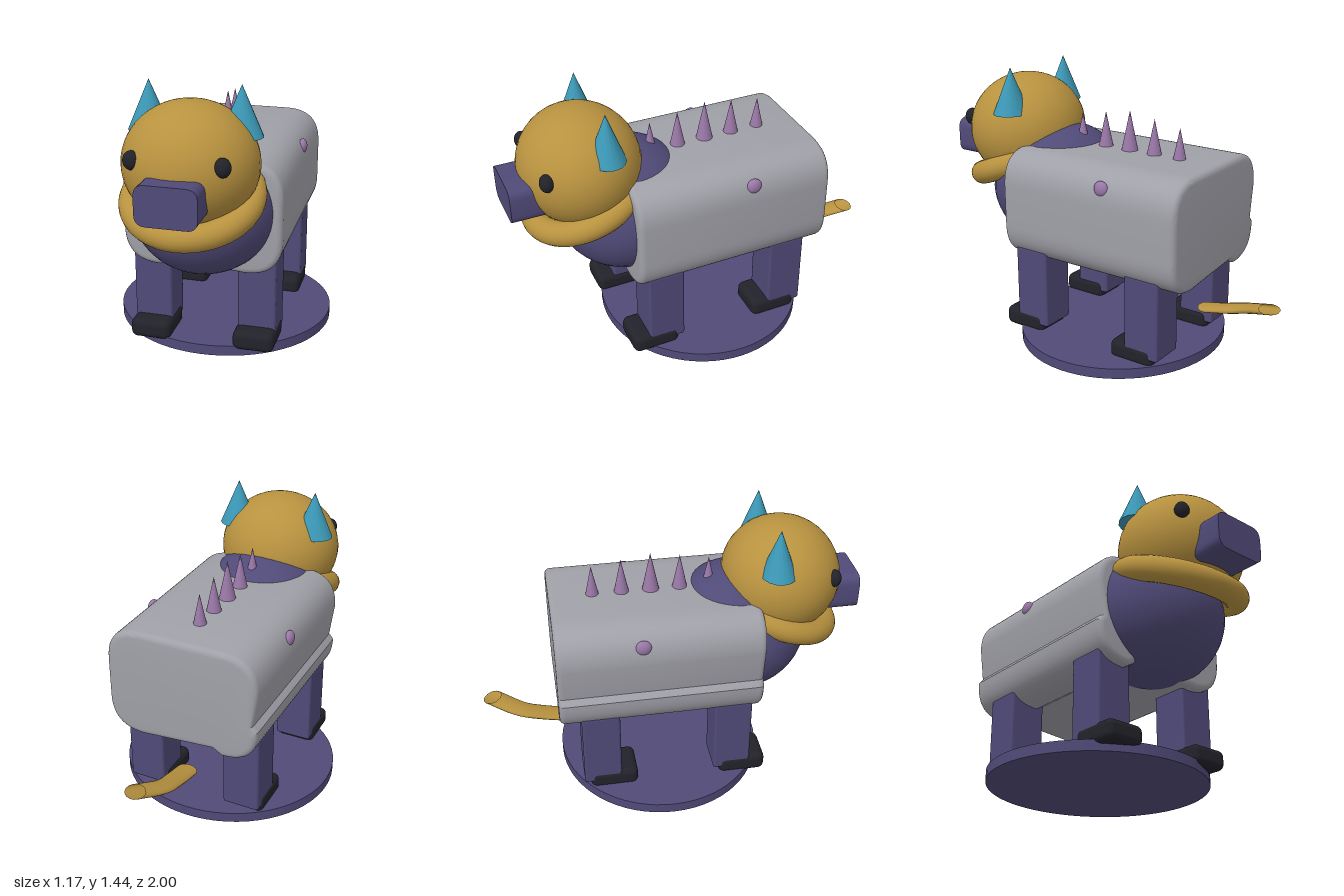
import * as THREE from 'three';
import { toCreasedNormals } from 'three/addons/utils/BufferGeometryUtils.js';
import { RoundedBoxGeometry } from 'three/addons/geometries/RoundedBoxGeometry.js';

const material = (name, color, side = THREE.FrontSide) => {
  const m = new THREE.MeshStandardMaterial({ color, side });
  m.name = name;
  return m;
};

export function createModel() {
  const model = new THREE.Group();
  const gold = material('gold', 0xb8923f, THREE.DoubleSide);
  const indigo = material('indigo', 0x504a78);
  const grey = material('grey', 0xa0a0a8);
  const mauve = material('mauve', 0x9a78a8);
  const teal = material('teal', 0x3c9ab8);
  const black = material('black', 0x22222a);

  const add = (name, geometry, mat, x = 0, y = 0, z = 0) => {
    const mesh = new THREE.Mesh(geometry, mat);
    mesh.name = name;
    mesh.position.set(x, y, z);
    model.add(mesh);
    return mesh;
  };
  const ellipsoid = (name, mat, rx, ry, rz, x, y, z) =>
    add(name, new THREE.SphereGeometry(1, 40, 28), mat, x, y, z).scale.set(rx, ry, rz);

  // Oval base plate
  add('base', new THREE.CylinderGeometry(1, 1, 0.055, 64), indigo, 0, 0.0275, -0.045).scale.set(0.583, 1, 0.55);

  // Barrel body: rounded section with a shallow groove either side of the lower right corner
  const section = new THREE.Shape();
  section.moveTo(-0.385, 0.67);
  section.lineTo(-0.41, 0.85);
  section.quadraticCurveTo(-0.41, 1.04, -0.22, 1.04);
  section.lineTo(0.22, 1.04);
  section.quadraticCurveTo(0.41, 1.04, 0.41, 0.85);
  section.lineTo(0.41, 0.64);
  section.quadraticCurveTo(0.41, 0.45, 0.22, 0.45);
  section.lineTo(-0.17, 0.48);
  section.lineTo(-0.22, 0.45);
  section.quadraticCurveTo(-0.41, 0.45, -0.41, 0.64);
  const body = new THREE.ExtrudeGeometry(section, {
    depth: 1.0, bevelThickness: 0.03, bevelSize: 0.03, bevelOffset: -0.03, bevelSegments: 4, curveSegments: 12,
  });
  add('body', toCreasedNormals(body, 0.55), grey, 0, 0, -0.58);

  // Chest, head and tilted collar
  ellipsoid('chest', indigo, 0.37, 0.345, 0.37, 0, 0.78, 0.38);
  ellipsoid('head', gold, 0.33, 0.302, 0.31, 0, 1.07, 0.605);
  const collar = add('collar', new THREE.TorusGeometry(0.29, 0.065, 20, 56), gold, 0, 0.895, 0.585);
  collar.rotation.x = Math.PI / 2 + 0.38;

  // Snout: rounded block
  const w = 0.147, lo = 0.89, hi = 1.085, r = 0.055;
  const muzzle = new THREE.Shape();
  muzzle.moveTo(-w, lo + r);
  muzzle.lineTo(-w, hi - r);
  muzzle.quadraticCurveTo(-w, hi, -w + r, hi);
  muzzle.lineTo(w - r, hi);
  muzzle.quadraticCurveTo(w, hi, w, hi - r);
  muzzle.lineTo(w, lo + r);
  muzzle.quadraticCurveTo(w, lo, w - r, lo);
  muzzle.lineTo(-w + r, lo);
  muzzle.quadraticCurveTo(-w, lo, -w, lo + r);
  const snout = new THREE.ExtrudeGeometry(muzzle, { depth: 0.25, bevelEnabled: false, curveSegments: 6 });
  add('snout', toCreasedNormals(snout, 0.6), indigo, 0, 0, 0.75);

  // Paired parts
  for (const [side, s] of [['left', 1], ['right', -1]]) {
    ellipsoid(side + 'Eye', black, 0.04, 0.046, 0.035, s * 0.212, 1.135, 0.83);
    const ear = add(side + 'Ear', new THREE.ConeGeometry(0.09, 0.245, 16), teal, s * 0.225, 1.3175, 0.53);
    ear.scale.x = 1.17;
    ellipsoid(side + 'Stud', mauve, 0.025, 0.04, 0.04, s * 0.388, 0.945, -0.175);
    for (const [end, z] of [['Front', 0.3], ['Rear', -0.4]]) {
      add(side + end + 'Leg', new RoundedBoxGeometry(0.2, 0.435, 0.2, 2, 0.014), indigo, s * 0.275, 0.2975, z);
      add(side + end + 'Foot', new RoundedBoxGeometry(0.215, 0.105, 0.255, 3, 0.035), black, s * 0.273, 0.0875, z + 0.06);
    }
  }

  // Row of spikes along the back, tallest in the middle
  for (let i = -2; i <= 2; i++) {
    const k = 2 - Math.abs(i);
    const top = 1.2 + 0.025 * k, bottom = 1.0;
    add('spike', new THREE.ConeGeometry(0.042 + 0.005 * k, top - bottom, 16), mauve, 0, (top + bottom) / 2, -0.08 - 0.152 * i);
  }

  // Tail: open tube flattened in height
  const path = new THREE.CatmullRomCurve3([
    [0, 1.068, -0.565], [0, 1.17, -0.68], [0.005, 1.31, -0.8], [0.065, 1.54, -0.955],
  ].map((p) => new THREE.Vector3(...p)));
  add('tail', new THREE.TubeGeometry(path, 24, 0.058, 16), gold).scale.y = 0.25;

  return model;
}
